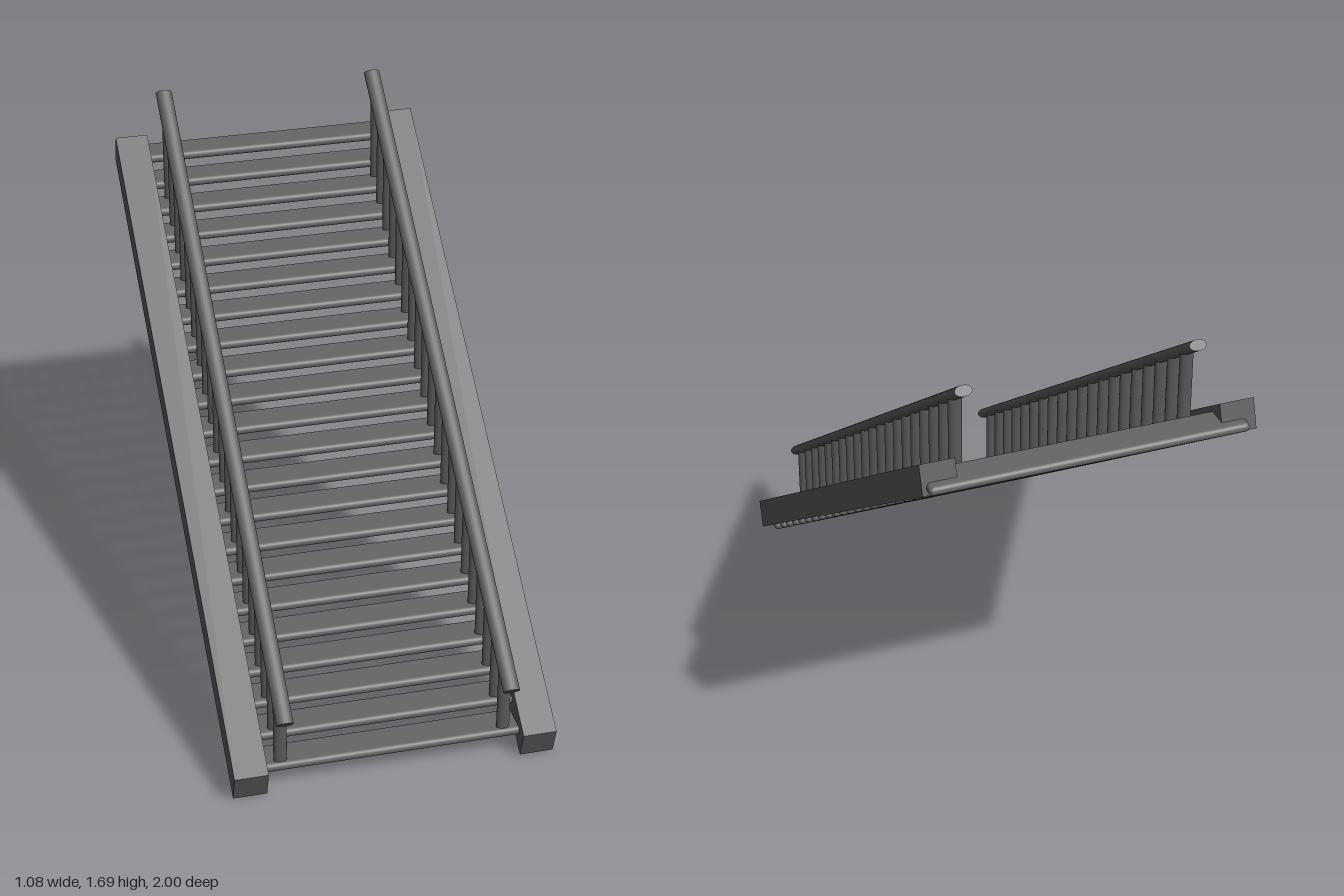
import * as THREE from 'three';
import { RoundedBoxGeometry } from 'three/addons/geometries/RoundedBoxGeometry.js';

const frameMaterial = new THREE.MeshStandardMaterial({ color: 0x595959 });
const treadMaterial = new THREE.MeshStandardMaterial({ color: 0x666666 });

const STEPS = 22, RISE = 0.0635, RUN = 0.0867;
const BALUSTERS = 20, RAIL_X = 0.3765;
const railLow = new THREE.Vector3(0, 0.294, 0.988);
const railHigh = new THREE.Vector3(0, 1.671, -0.882);

function add(parent, name, geometry, material, x = 0, y = 0, z = 0) {
  const mesh = new THREE.Mesh(geometry, material);
  mesh.name = name;
  mesh.position.set(x, y, z);
  parent.add(mesh);
  return mesh;
}

// Sloping side beam, drawn in the z-y plane and extruded across x
function stringerGeometry(width) {
  const shape = new THREE.Shape([
    new THREE.Vector2(-0.977, 1.392), new THREE.Vector2(-0.944, 1.486),
    new THREE.Vector2(0.985, 0.099), new THREE.Vector2(0.954, 0),
  ]);
  const geometry = new THREE.ExtrudeGeometry(shape, { depth: width, bevelEnabled: false });
  geometry.translate(0, 0, -width / 2);
  geometry.rotateY(-Math.PI / 2);
  return geometry;
}

// Height of the handrail's centre line at a given z
const railHeight = (z) =>
  THREE.MathUtils.mapLinear(z, railLow.z, railHigh.z, railLow.y, railHigh.y);

export function createModel() {
  const model = new THREE.Group();
  model.name = 'staircase';

  // Open treads with rounded edges
  const treads = new THREE.Group();
  treads.name = 'treads';
  model.add(treads);
  const treadGeometry = new RoundedBoxGeometry(1.038, 0.031, 0.116, 3, 0.015);
  for (let i = 0; i < STEPS; i++) {
    add(treads, 'tread', treadGeometry, treadMaterial, 0.008, 0.08 + i * RISE, 0.878 - i * RUN);
  }

  const stringer = stringerGeometry(0.113);
  const railLength = railLow.distanceTo(railHigh);
  const railGeometry = new THREE.CylinderGeometry(0.018, 0.018, railLength, 20);
  railGeometry.scale(1.58, 1, 1);
  const slope = Math.atan2(railHigh.z - railLow.z, railHigh.y - railLow.y);

  for (const side of [-1, 1]) {
    add(model, side > 0 ? 'leftStringer' : 'rightStringer', stringer, frameMaterial, side * 0.485);

    const balustrade = new THREE.Group();
    balustrade.name = side > 0 ? 'leftBalustrade' : 'rightBalustrade';
    balustrade.position.x = side * RAIL_X + 0.002;
    model.add(balustrade);

    // Flattened round handrail
    const rail = add(balustrade, 'handrail', railGeometry, frameMaterial);
    rail.position.addVectors(railLow, railHigh).multiplyScalar(0.5);
    rail.rotation.x = slope;

    // Oval balusters, each standing on its own tread
    for (let i = 0; i < BALUSTERS; i++) {
      const z = 0.91 - i * 0.0902;
      const bottom = 0.09 + i * RISE;
      const height = railHeight(z) - bottom;
      const geometry = new THREE.CylinderGeometry(0.0135, 0.0135, height, 16);
      geometry.scale(1.67, 1, 1);
      add(balustrade, 'baluster', geometry, frameMaterial, 0, bottom + height / 2, z);
    }
  }
  return model;
}
